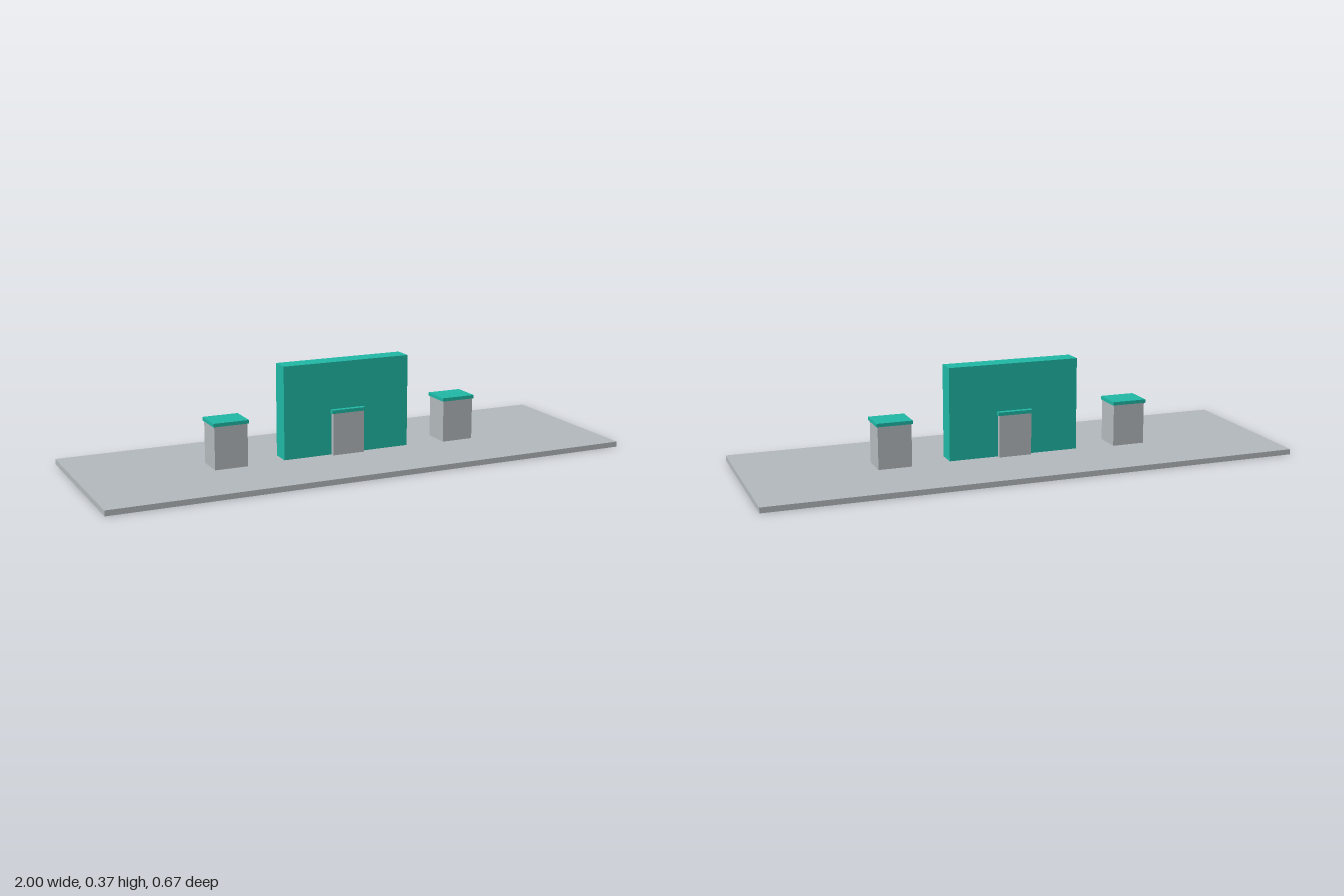
import * as THREE from 'three';

const gray = new THREE.MeshStandardMaterial({ color: 0xb0b6ba });
gray.name = 'stone gray';
const teal = new THREE.MeshStandardMaterial({ color: 0x1fb5a3 });
teal.name = 'teal';

// Box whose underside sits at height y
function block(name, material, w, h, d, y) {
  const mesh = new THREE.Mesh(new THREE.BoxGeometry(w, h, d), material);
  mesh.name = name;
  mesh.position.y = y + h / 2;
  return mesh;
}

export function createModel() {
  const model = new THREE.Group();
  model.name = 'displayStand';

  // Floor slab and upright panel
  model.add(block('floorSlab', gray, 2, 0.02, 0.667, 0));
  model.add(block('backPanel', teal, 0.5, 0.347, 0.073, 0.02));

  // Three capped pedestals, the middle one passing through the panel
  for (const [name, x] of [['rightPedestal', -0.46], ['centerPedestal', 0], ['leftPedestal', 0.46]]) {
    const pedestal = new THREE.Group();
    pedestal.name = name;
    pedestal.position.x = x;
    pedestal.add(block('pedestalBody', gray, 0.125, 0.158, 0.106, 0.02));
    pedestal.add(block('pedestalCap', teal, 0.134, 0.013, 0.113, 0.178));
    model.add(pedestal);
  }
  return model;
}
